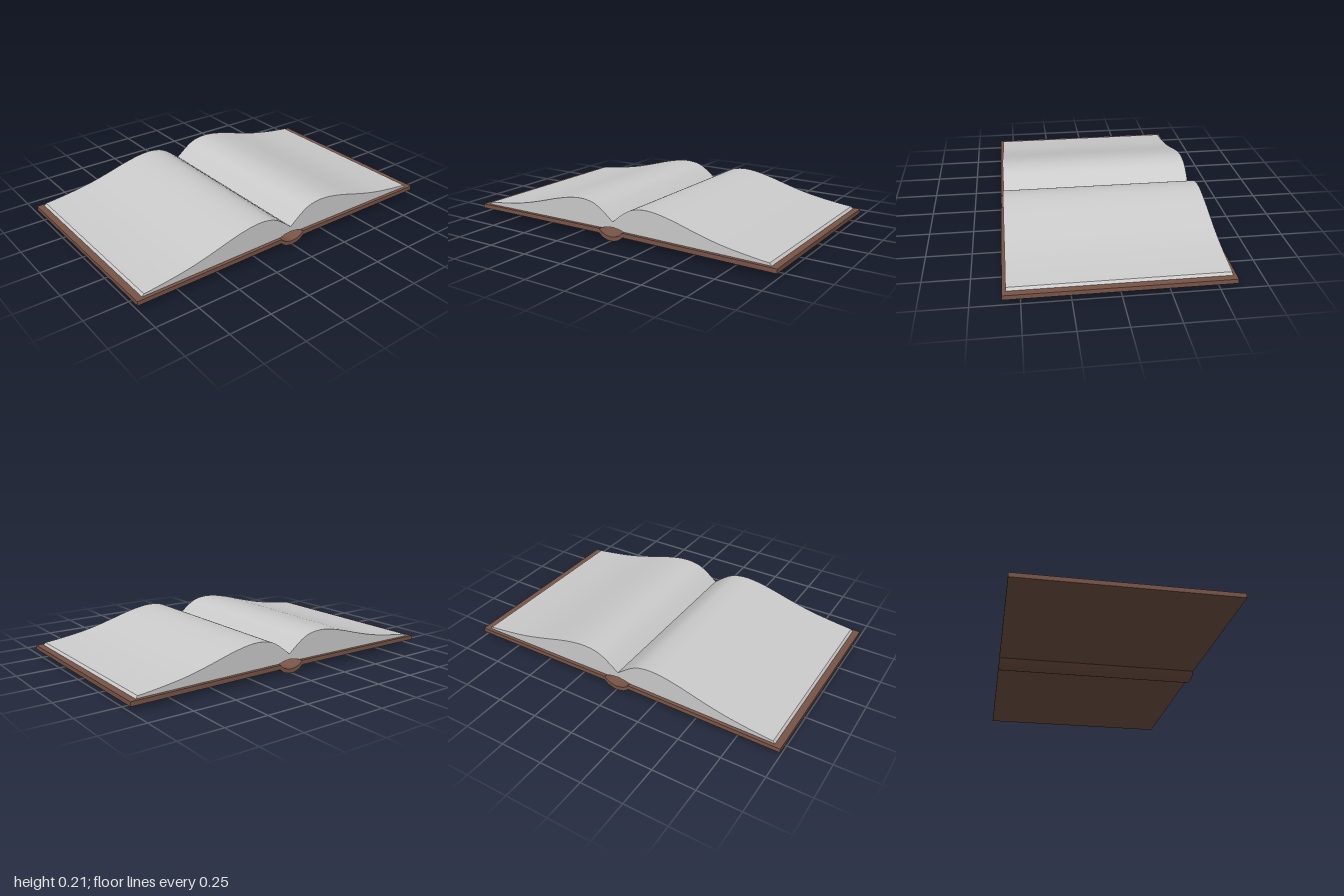
import * as THREE from 'three';
import { toCreasedNormals } from 'three/addons/utils/BufferGeometryUtils.js';

const v = (x, y) => new THREE.Vector2(x, y);
const curve = (pts, n) => new THREE.SplineCurve(pts.map(([x, y]) => v(x, y))).getPoints(n);

// Extrude an x-y outline along z, centred, with smooth curves and sharp corners
function slab(name, outline, depth, material) {
  const geometry = new THREE.ExtrudeGeometry(new THREE.Shape(outline), { depth, bevelEnabled: false });
  geometry.translate(0, 0, -depth / 2);
  const mesh = new THREE.Mesh(toCreasedNormals(geometry, Math.PI / 7), material);
  mesh.name = name;
  return mesh;
}

export function createModel() {
  const book = new THREE.Group();
  book.name = 'openBook';
  const leather = new THREE.MeshStandardMaterial({ color: 0x795548 });
  const paper = new THREE.MeshStandardMaterial({ color: 0xcccccc });

  // Upper surface of the page block, from the gutter to the fore edge
  const pageTop = curve([
    [0, 0.105], [0.05, 0.145], [0.1, 0.179], [0.15, 0.199], [0.22, 0.207], [0.3, 0.2],
    [0.4, 0.178], [0.5, 0.15], [0.6, 0.123], [0.7, 0.101], [0.8, 0.085], [0.9, 0.072], [0.95, 0.067],
  ], 48);
  // Underside, arching up over the hollow of the spine
  const pageBottom = [v(0.963, 0.052), ...curve([[0.08, 0.058], [0.04, 0.069], [0, 0.074]], 10)];

  // Cover boards tilt slightly down toward their outer edges
  const board = [v(0.078, 0.034), v(1, 0.028), v(1, 0.053), v(0.078, 0.06)];

  for (const [side, s] of [['left', 1], ['right', -1]]) {
    const mirror = (pts) => pts.map((p) => v(p.x * s, p.y));
    book.add(slab(side + 'Pages', mirror([...pageTop, ...pageBottom]), 1.14, paper));
    book.add(slab(side + 'Cover', mirror(board), 1.18, leather));
  }

  // Curved spine bowing below the covers
  const outer = curve([[-0.08, 0.034], [-0.05, 0.011], [0, 0], [0.05, 0.011], [0.08, 0.034]], 16);
  const inner = curve([[0.08, 0.059], [0.05, 0.036], [0, 0.025], [-0.05, 0.036], [-0.08, 0.059]], 16);
  book.add(slab('spine', [...outer, ...inner], 1.18, leather));

  return book;
}
